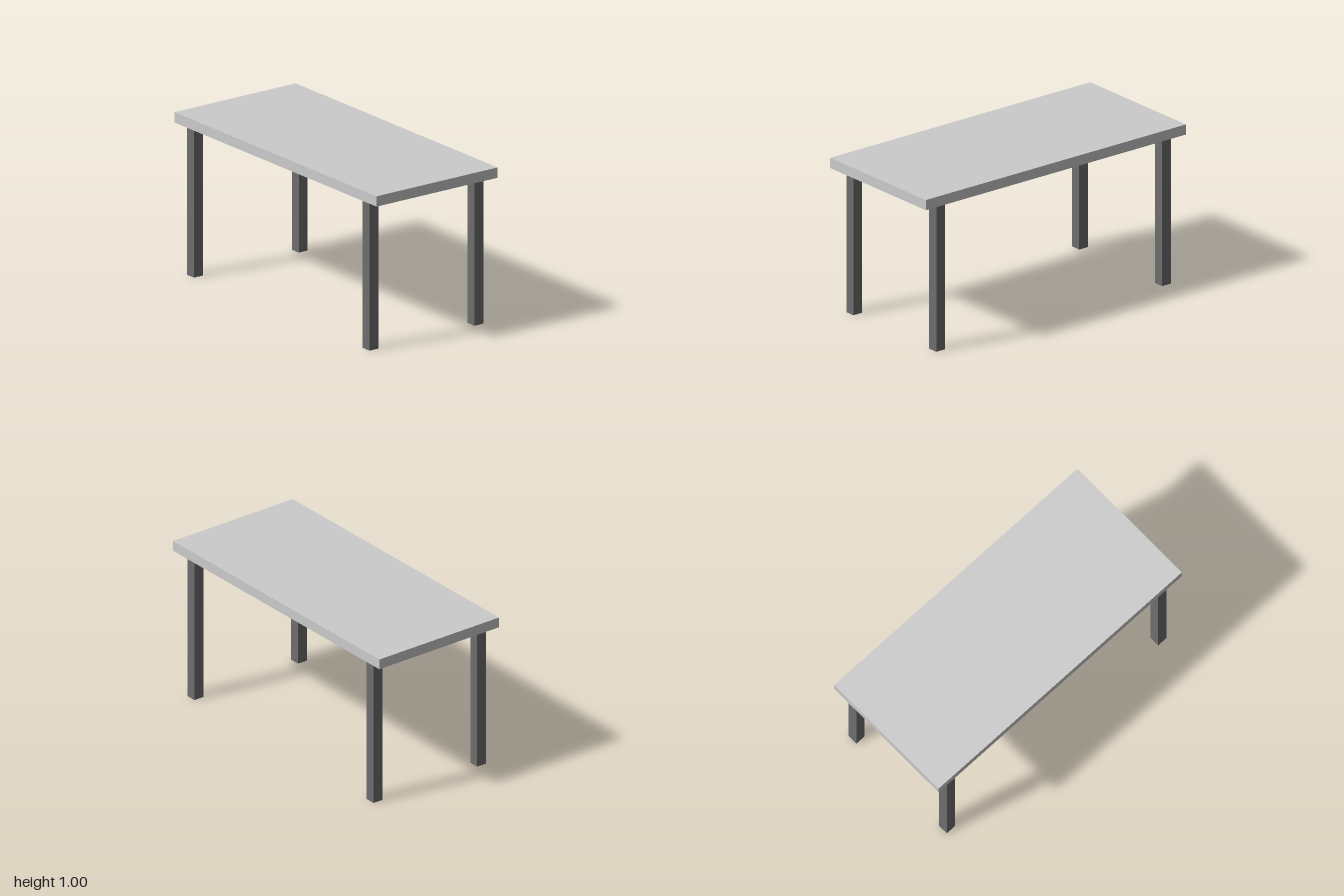
import * as THREE from 'three';

export function createModel() {
  const table = new THREE.Group();
  table.name = 'table';

  const topMaterial = new THREE.MeshStandardMaterial({ color: 0xcccccc });
  const legMaterial = new THREE.MeshStandardMaterial({ color: 0x6e6e6e });

  // Flat slab, floating just above the legs
  const topThickness = 0.065;
  const tableTop = new THREE.Mesh(new THREE.BoxGeometry(2, topThickness, 0.907), topMaterial);
  tableTop.name = 'tableTop';
  tableTop.position.y = 0.939 + topThickness / 2;
  table.add(tableTop);

  // Four square legs, set very slightly off centre
  const legHeight = 0.926;
  const legGeometry = new THREE.BoxGeometry(0.067, legHeight, 0.067);
  for (const [xName, x] of [['Left', 0.863], ['Right', -0.874]]) {
    for (const [zName, z] of [['front', 0.394], ['back', -0.391]]) {
      const leg = new THREE.Mesh(legGeometry, legMaterial);
      leg.name = `${zName}${xName}Leg`;
      leg.position.set(x, legHeight / 2, z);
      table.add(leg);
    }
  }

  return table;
}
